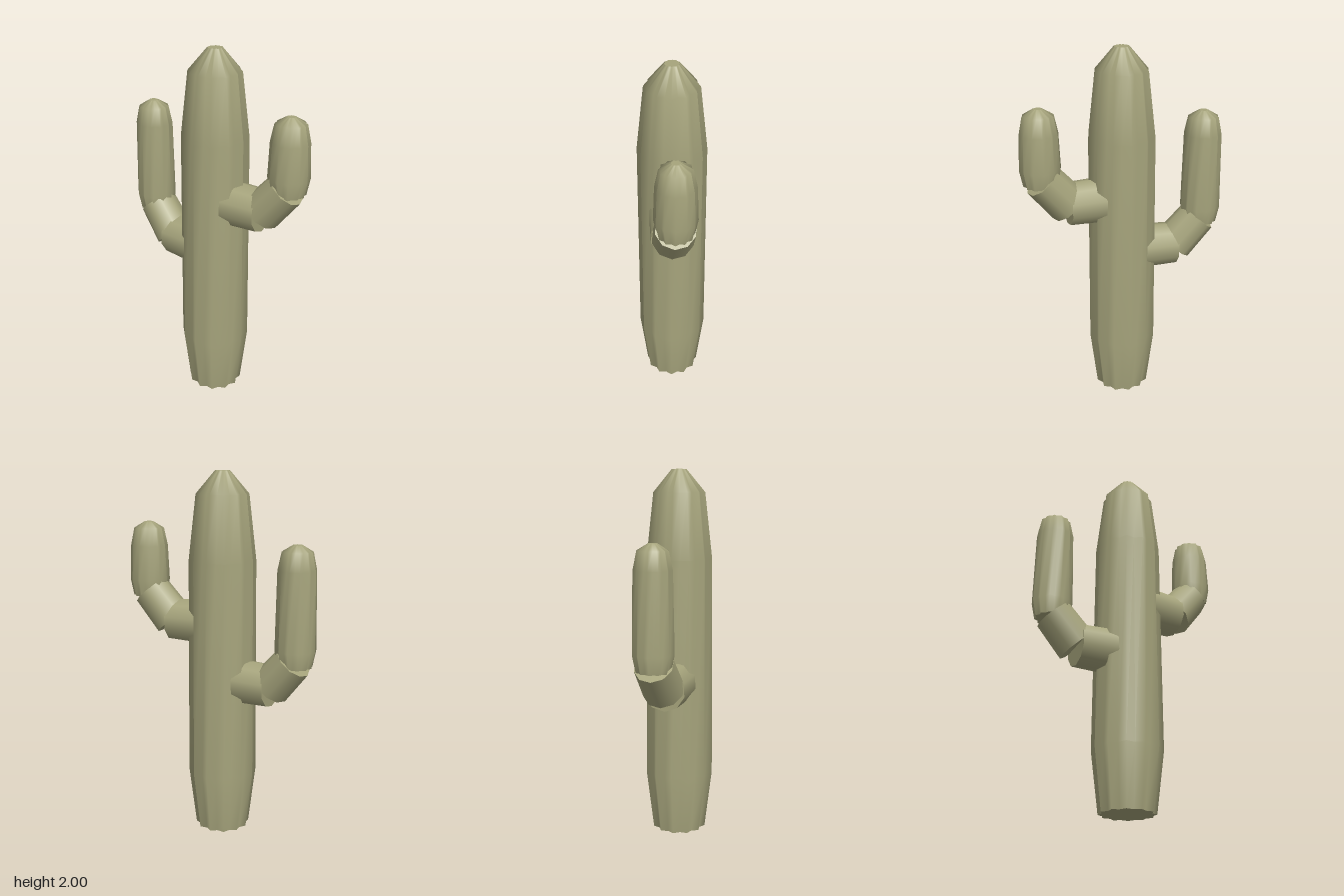
import * as THREE from 'three';

const RIBS = 12;
const VALLEY = 0.87;

// Ribbed column: star cross-section swept through [radius, y] rings, smooth sides and flat caps
function ribbedColumn(profile) {
  const n = RIBS * 2;
  const pos = [];
  const index = [];
  const addRing = ([r, y]) => {
    for (let i = 0; i < n; i++) {
      const a = (i / n) * Math.PI * 2;
      const rr = i % 2 ? r * VALLEY : r;
      pos.push(Math.sin(a) * rr, y, Math.cos(a) * rr);
    }
  };
  profile.forEach(addRing);
  for (let j = 0; j < profile.length - 1; j++) {
    for (let i = 0; i < n; i++) {
      const a = j * n + i;
      const b = j * n + ((i + 1) % n);
      index.push(a, b, b + n, a, b + n, a + n);
    }
  }
  // Caps have their own vertices so their rims stay sharp
  const addCap = (ring, up) => {
    const start = pos.length / 3;
    addRing(ring);
    pos.push(0, ring[1], 0);
    for (let i = 0; i < n; i++) {
      const a = start + i;
      const b = start + ((i + 1) % n);
      if (up) index.push(start + n, a, b);
      else index.push(start + n, b, a);
    }
  };
  addCap(profile[0], false);
  addCap(profile[profile.length - 1], true);
  const geo = new THREE.BufferGeometry();
  geo.setAttribute('position', new THREE.Float32BufferAttribute(pos, 3));
  geo.setIndex(index);
  geo.computeVertexNormals();
  return geo;
}

// Capped tapering cylinder between two points
function limb(from, to, r0, r1, material) {
  const a = new THREE.Vector3(...from);
  const b = new THREE.Vector3(...to);
  const dir = b.clone().sub(a);
  const geo = new THREE.CylinderGeometry(r1, r0, dir.length(), 10, 1, false, Math.PI / 2);
  const mesh = new THREE.Mesh(geo, material);
  mesh.position.copy(a).add(b).multiplyScalar(0.5);
  mesh.quaternion.setFromUnitVectors(new THREE.Vector3(0, 1, 0), dir.normalize());
  return mesh;
}

export function createModel() {
  const group = new THREE.Group();
  group.name = 'cactus';
  const green = new THREE.MeshStandardMaterial({ color: 0xa6a47c });
  green.name = 'dusty green';

  const trunk = new THREE.Mesh(
    ribbedColumn([[0.15, 0], [0.19, 0.33], [0.182, 1.53], [0.142, 1.88], [0.04, 2]]),
    green
  );
  trunk.name = 'trunk';
  group.add(trunk);

  // Each arm: stub out of the trunk, slanted elbow, ribbed upright
  const arms = [
    { name: 'leftArm', side: 1, y: 1.18, base: 1.31, top: 1.72 },
    { name: 'rightArm', side: -1, y: 0.87, base: 1.0, top: 1.64 },
  ];
  for (const { name, side, y, base, top } of arms) {
    const arm = new THREE.Group();
    arm.name = name;

    const stub = limb([side * 0.08, y, 0], [side * 0.305, y, -0.012], 0.125, 0.117, green);
    stub.name = 'stub';

    const elbow = limb(
      [side * 0.3, y - 0.003, -0.012],
      [side * 0.437, y + 0.158, -0.028],
      0.112, 0.105, green
    );
    elbow.name = 'elbow';

    const upright = new THREE.Mesh(
      ribbedColumn([
        [0.092, base], [0.11, base + 0.09], [0.102, top - 0.13],
        [0.082, top - 0.035], [0.024, top],
      ]),
      green
    );
    upright.name = 'upright';
    upright.position.set(side * 0.446, 0, -0.028);

    arm.add(stub, elbow, upright);
    group.add(arm);
  }
  return group;
}
